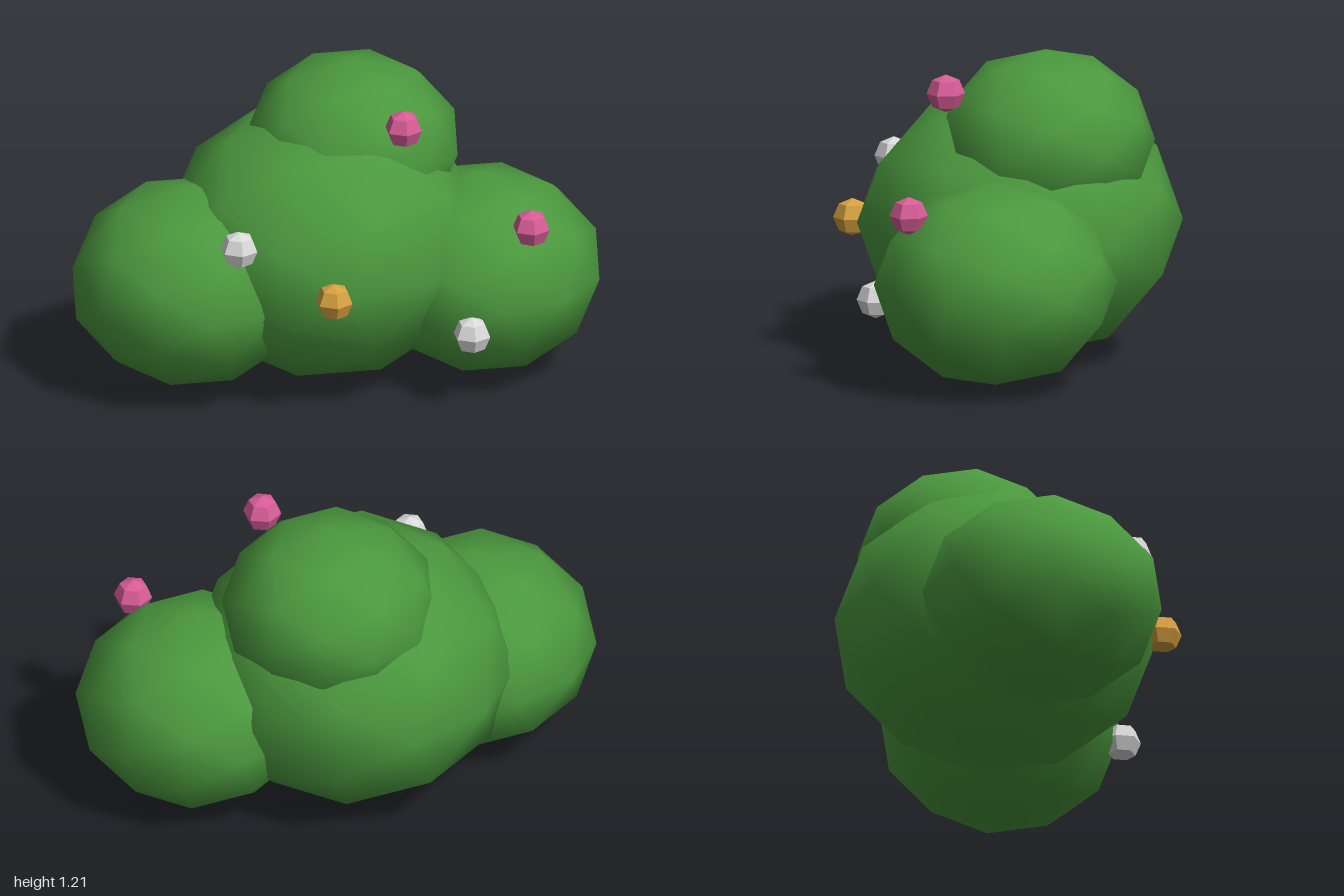
import * as THREE from 'three';

const mat = (name, color, flatShading = false) => {
  const m = new THREE.MeshStandardMaterial({ color, flatShading });
  m.name = name;
  return m;
};

export function createModel() {
  const bush = new THREE.Group();
  bush.name = 'floweringBush';

  const leafGreen = mat('leafGreen', 0x4b983e);
  const pink = mat('petalPink', 0xd65c96, true);
  const white = mat('petalWhite', 0xd9d9d9, true);
  const gold = mat('petalGold', 0xd6a040, true);

  // Smooth low-poly ball with its five-fold axis along z
  const leafBall = new THREE.IcosahedronGeometry(1, 1);
  leafBall.rotateX(Math.atan2(Math.sqrt(5) - 1, 2));
  leafBall.rotateZ(Math.PI / 2);

  // Foliage clumps: slightly squashed balls
  const clumps = [
    ['middleFoliage', -0.03, 0.53, -0.04, 0.618],
    ['rightFoliage', -0.56, 0.425, 0.045, 0.46],
    ['leftFoliage', 0.56, 0.41, 0.087, 0.461],
    ['topFoliage', 0.1, 0.865, -0.13, 0.415],
  ];
  for (const [name, x, y, z, r] of clumps) {
    const clump = new THREE.Mesh(leafBall, leafGreen);
    clump.name = name;
    clump.position.set(x, y, z);
    clump.scale.set(r, r * 0.85, r);
    bush.add(clump);
  }

  // Faceted blossoms, hexagonal in plan with corners at front and back
  const blossomBall = new THREE.SphereGeometry(0.073, 6, 4);
  blossomBall.rotateY(Math.PI / 2);
  const blossoms = [
    ['topPinkBlossom', pink, 0.225, 1.078, 0.256],
    ['leftPinkBlossom', pink, 0.685, 0.702, 0.423],
    ['rightWhiteBlossom', white, -0.44, 0.702, 0.415],
    ['leftWhiteBlossom', white, 0.435, 0.328, 0.533],
    ['frontGoldBlossom', gold, -0.107, 0.535, 0.591],
  ];
  for (const [name, material, x, y, z] of blossoms) {
    const blossom = new THREE.Mesh(blossomBall, material);
    blossom.name = name;
    blossom.position.set(x, y, z);
    bush.add(blossom);
  }

  return bush;
}
